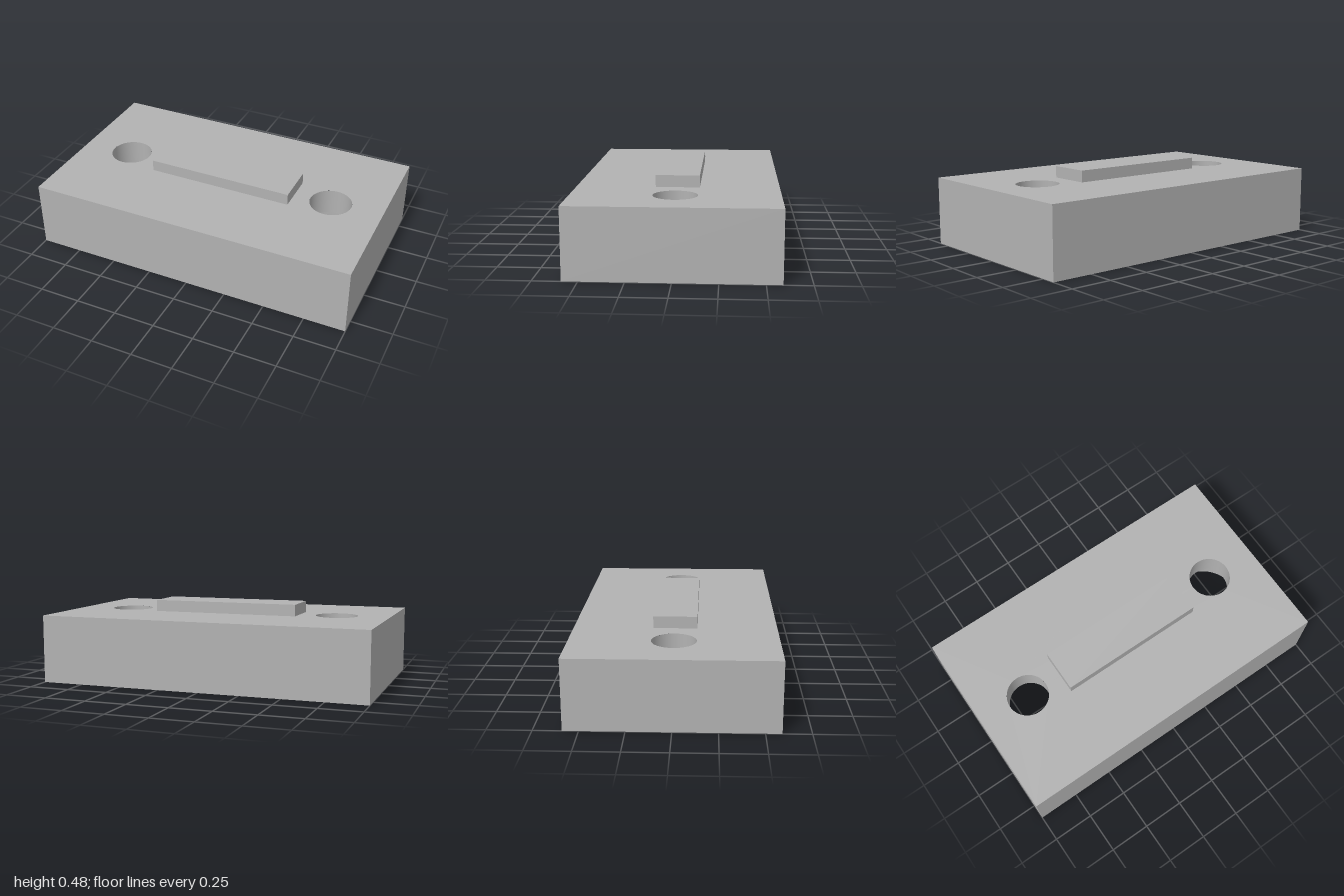
import * as THREE from 'three';
import { mergeGeometries } from 'three/addons/utils/BufferGeometryUtils.js';

const W = 2, H = 0.41, D = 1.18;             // block size
const HOLE_X = 0.68, HOLE_R = 0.127;         // through holes
const BORE_R = 0.23, BORE_H = 0.25;          // wider counterbores from below
const SEG = 64;

// Rectangular face pierced by two round holes
function piercedFace(radius, y, tilt) {
  const shape = new THREE.Shape([
    new THREE.Vector2(-W / 2, -D / 2), new THREE.Vector2(W / 2, -D / 2),
    new THREE.Vector2(W / 2, D / 2), new THREE.Vector2(-W / 2, D / 2),
  ]);
  for (const s of [-1, 1]) {
    shape.holes.push(new THREE.Path().absarc(s * HOLE_X, 0, radius, 0, Math.PI * 2, true));
  }
  return new THREE.ShapeGeometry(shape, SEG).rotateX(tilt).translate(0, y, 0);
}

// Four outer walls: a box without its top and bottom
function outerWalls() {
  const box = new THREE.BoxGeometry(W, H, D).translate(0, H / 2, 0);
  const index = Array.from(box.index.array);
  index.splice(12, 12);
  box.setIndex(index);
  box.clearGroups();
  return box;
}

// Stepped hole lining, one lathe per segment so the corners stay sharp
function steppedHole() {
  const profile = [[HOLE_R, H], [HOLE_R, BORE_H], [BORE_R, BORE_H], [BORE_R, 0]]
    .map(([r, y]) => new THREE.Vector2(r, y));
  return mergeGeometries([0, 1, 2].map(
    (i) => new THREE.LatheGeometry([profile[i], profile[i + 1]], SEG)));
}

export function createModel() {
  const model = new THREE.Group();
  const grey = new THREE.MeshStandardMaterial({ color: 0xb2b2b2 });
  grey.name = 'plain grey';

  const add = (name, geometry) => {
    const mesh = new THREE.Mesh(geometry, grey);
    mesh.name = name;
    model.add(mesh);
    return mesh;
  };

  // Block shell
  add('block', mergeGeometries([
    outerWalls(),
    piercedFace(HOLE_R, H, -Math.PI / 2),
    piercedFace(BORE_R, 0, Math.PI / 2),
  ]));

  // Counterbored holes
  add('leftHole', steppedHole()).position.x = HOLE_X;
  add('rightHole', steppedHole()).position.x = -HOLE_X;

  // Raised key on the top
  add('raisedKey', new THREE.BoxGeometry(0.905, 0.07, 0.256)).position.y = H + 0.035;

  return model;
}
